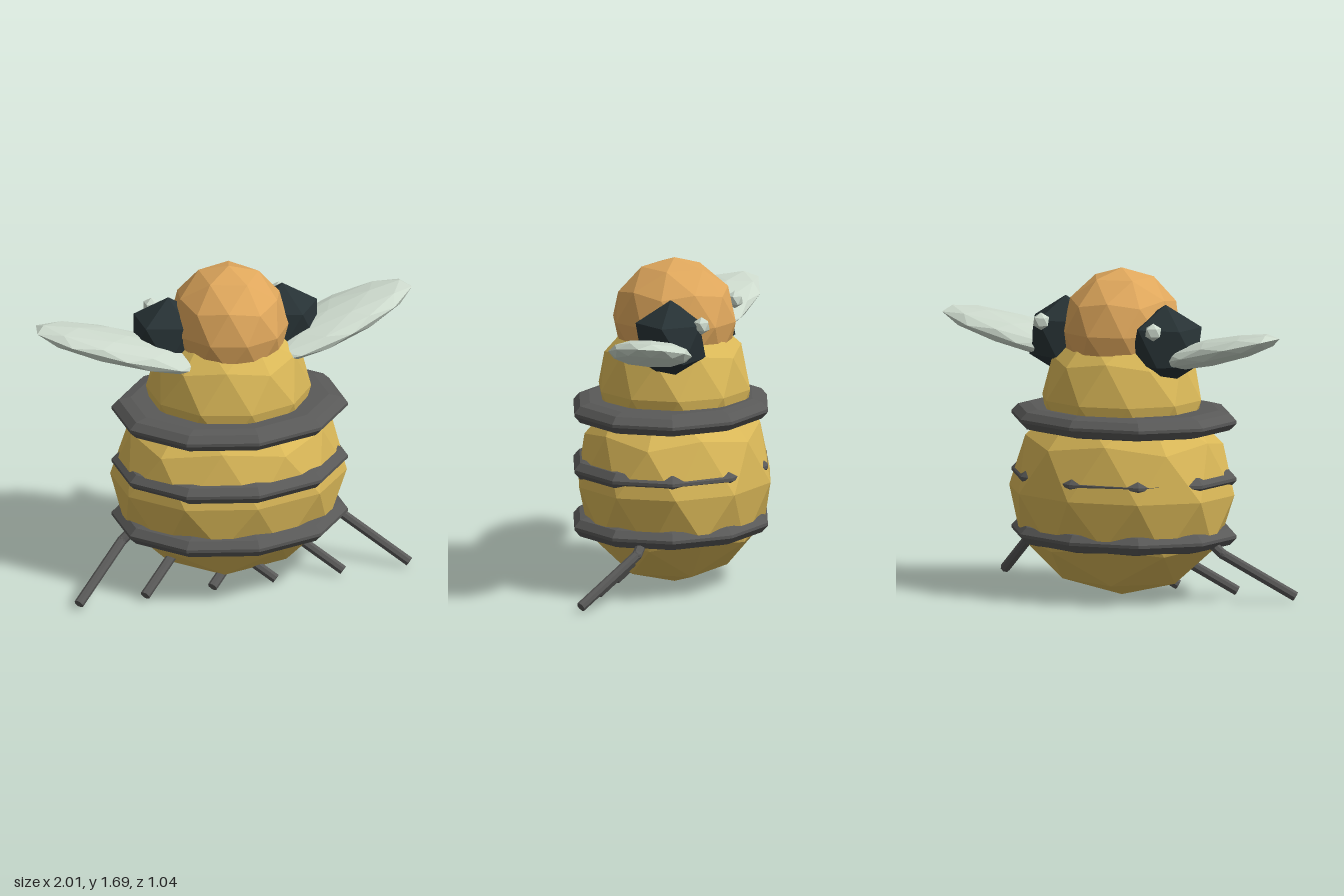
import * as THREE from 'three';

const flat = (name, color) => new THREE.MeshStandardMaterial({ name, color, flatShading: true });

export function createModel() {
  const bee = new THREE.Group();
  bee.name = 'bee';

  const yellow = flat('honeyYellow', 0xdab858);
  const orange = flat('headOrange', 0xdfa75c);
  const charcoal = flat('charcoal', 0x595958);
  const eyeBlack = flat('eyeBlack', 0x273235);
  const pale = flat('paleGreen', 0xccd9cc);

  function add(name, geometry, material, parent = bee) {
    const mesh = new THREE.Mesh(geometry, material);
    mesh.name = name;
    parent.add(mesh);
    return mesh;
  }

  // Faceted ball with a vertex at the top, stretched along each axis
  function ball(detail, rx, ry, rz) {
    const tilt = Math.atan(2 / (1 + Math.sqrt(5)));
    return new THREE.IcosahedronGeometry(1, detail).rotateZ(-tilt).scale(rx, ry, rz);
  }

  // Body
  add('abdomen', ball(1, 0.615, 0.54, 0.507), yellow).position.set(0, 0.54, -0.012);
  add('thorax', ball(1, 0.425, 0.41, 0.4), yellow).position.set(0, 1.02, -0.012);
  add('head', ball(1, 0.305, 0.32, 0.324), orange).position.set(0, 1.37, -0.012);

  // Stripes: ten-sided bevelled rings
  const profile = [
    [0.3, -0.057], [0.84, -0.057], [0.94, -0.043], [1, -0.008],
    [1, 0.008], [0.94, 0.043], [0.84, 0.057], [0.3, 0.057],
  ].map(([r, y]) => new THREE.Vector2(r, y));
  for (const y of [0.322, 0.62, 0.915]) {
    const ring = new THREE.LatheGeometry(profile, 10).scale(0.613, 1, 0.513);
    add('stripe', ring, charcoal).position.set(0, y, 0.008);
  }

  // Straight leg piece between two points
  function rod(a, b, parent) {
    const dir = b.clone().sub(a);
    const mesh = add('legPiece', new THREE.CylinderGeometry(0.026, 0.026, dir.length(), 8), charcoal, parent);
    mesh.position.copy(a).add(b).multiplyScalar(0.5);
    mesh.quaternion.setFromUnitVectors(new THREE.Vector3(0, 1, 0), dir.normalize());
  }

  for (const side of [1, -1]) {
    const label = side > 0 ? 'left' : 'right';

    // Eyes and the small pale knobs behind them
    add(label + 'Eye', ball(0, 0.21, 0.21, 0.2), eyeBlack).position.set(side * 0.305, 1.32, -0.07);
    add(label + 'Knob', ball(0, 0.046, 0.046, 0.046), pale).position.set(side * 0.342, 1.412, -0.243);

    // Wing, swept up and back
    const wingSide = new THREE.Group();
    wingSide.name = label + 'WingSide';
    wingSide.scale.x = side;
    bee.add(wingSide);
    const wing = add(label + 'Wing', ball(1, 0.49, 0.068, 0.215), pale, wingSide);
    wing.position.set(0.55, 1.297, -0.025);
    wing.rotation.set(0, 0.25, 0.25, 'ZYX');

    // Three bent legs, each a sideways copy of the next
    for (const x of [0.885, 0.53, 0.17]) {
      const leg = new THREE.Group();
      leg.name = label + 'Leg';
      bee.add(leg);
      const foot = new THREE.Vector3(side * x, 0.028, 0.255);
      const knee = new THREE.Vector3(side * (x - 0.3), 0.25, 0.035);
      const root = new THREE.Vector3(side * (x - 0.4), 0.33, 0.02);
      rod(knee, foot, leg);
      rod(root, knee, leg);
      add('knee', new THREE.IcosahedronGeometry(0.027, 1), charcoal, leg).position.copy(knee);
    }
  }
  return bee;
}
